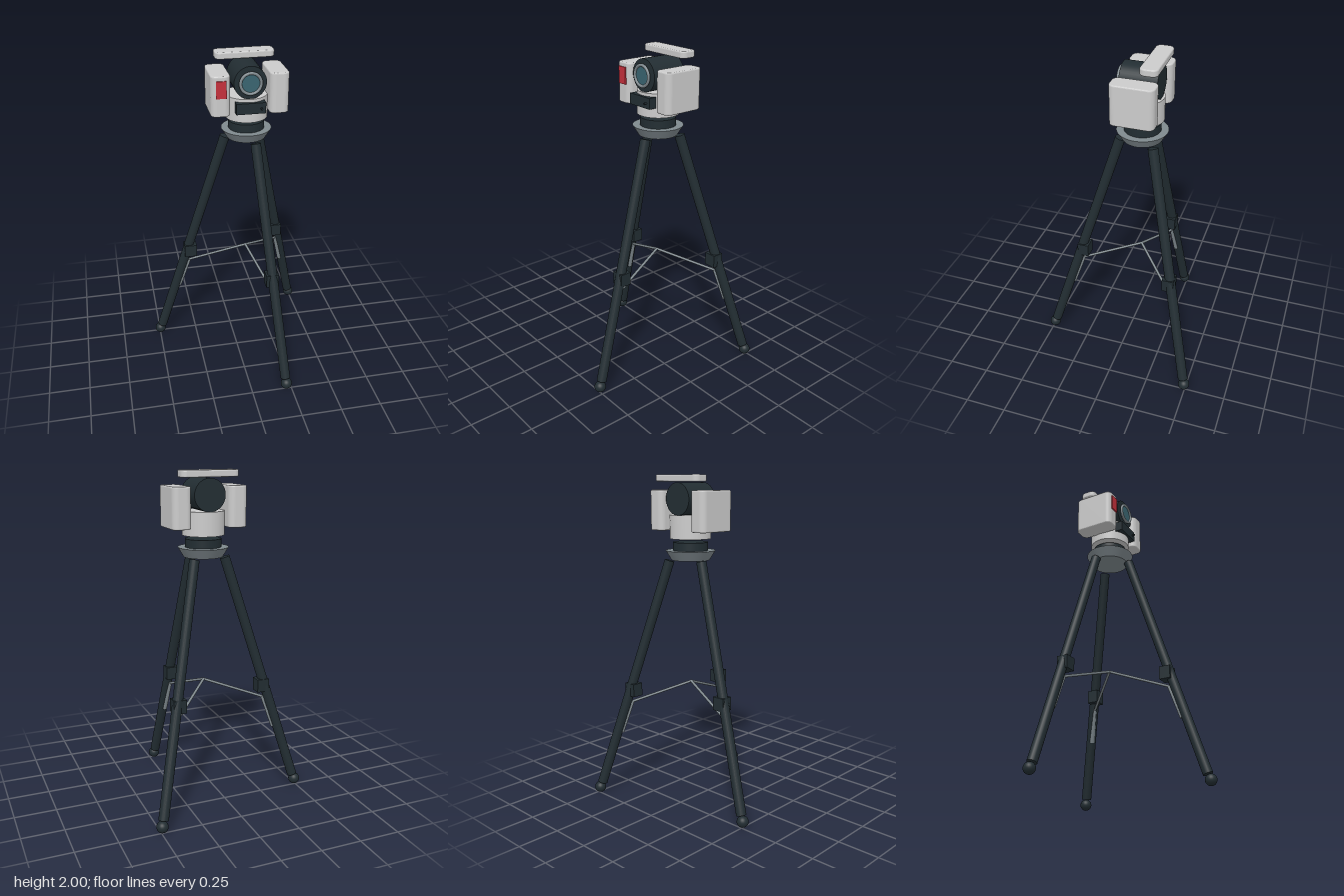
import * as THREE from 'three';

const CX = 0.071, CZ = -0.078; // tripod axis

const mat = (color) => new THREE.MeshStandardMaterial({ color });
const light = mat(0xcccccc);
const dark = mat(0x222d32);
const steel = mat(0x7f898e);
const red = mat(0xc4303c);
const glass = mat(0x3a6470);

function add(parent, name, geometry, material, x = 0, y = 0, z = 0) {
  const mesh = new THREE.Mesh(geometry, material);
  mesh.name = name;
  mesh.position.set(x, y, z);
  parent.add(mesh);
  return mesh;
}

// Cylinder running from point a (radius ra) to point b (radius rb)
function rod(parent, name, a, b, ra, rb, material, sides = 20) {
  const dir = b.clone().sub(a);
  const mesh = add(parent, name, new THREE.CylinderGeometry(rb, ra, dir.length(), sides), material);
  mesh.position.copy(a).add(b).multiplyScalar(0.5);
  mesh.quaternion.setFromUnitVectors(new THREE.Vector3(0, 1, 0), dir.normalize());
  return mesh;
}

// Slab with rounded corners in plan and a small bevel on its top and bottom edges
function roundedSlab(w, h, d, r, bevel) {
  const x = w / 2 - bevel, y = d / 2 - bevel, c = r - bevel;
  const s = new THREE.Shape();
  s.absarc(x - c, y - c, c, 0, Math.PI / 2);
  s.absarc(-x + c, y - c, c, Math.PI / 2, Math.PI);
  s.absarc(-x + c, -y + c, c, Math.PI, Math.PI * 1.5);
  s.absarc(x - c, -y + c, c, Math.PI * 1.5, Math.PI * 2);
  s.closePath();
  const g = new THREE.ExtrudeGeometry(s, {
    depth: h - 2 * bevel, bevelEnabled: true, bevelSize: bevel,
    bevelThickness: bevel, bevelSegments: 3, curveSegments: 8,
  });
  g.translate(0, 0, -(h / 2 - bevel));
  g.rotateX(-Math.PI / 2);
  return g;
}

function createTripod() {
  const tripod = new THREE.Group();
  tripod.name = 'tripod';

  for (let i = 0; i < 3; i++) {
    const angle = THREE.MathUtils.degToRad(75.5 + 120 * i);
    const at = (r, y) => new THREE.Vector3(CX + r * Math.cos(angle), y, CZ + r * Math.sin(angle));
    const leg = new THREE.Group();
    leg.name = 'leg' + (i + 1);
    tripod.add(leg);

    rod(leg, 'legTube', at(0.127, 1.495), at(0.574, 0.07), 0.03, 0.03, dark);
    const foot = add(leg, 'foot', new THREE.SphereGeometry(0.035, 24, 16), dark);
    foot.position.copy(at(0.589, 0.036));
    const clamp = add(leg, 'legClamp', new THREE.BoxGeometry(0.077, 0.08, 0.07), dark);
    clamp.position.copy(at(0.36, 0.69));

    // spreader arm and the stay that joins it to the leg
    rod(leg, 'spreaderArm', at(0, 0.74), at(0.367, 0.61), 0.008, 0.008, steel, 12);
    rod(leg, 'spreaderStay', at(0.367, 0.612), at(0.442, 0.41), 0.01, 0.015, steel, 12);
  }
  add(tripod, 'spreaderHub', new THREE.SphereGeometry(0.009, 12, 8), steel, CX, 0.739, CZ);

  add(tripod, 'collar', new THREE.CylinderGeometry(0.15, 0.115, 0.057, 48), steel, CX, 1.528, CZ);
  add(tripod, 'mountingDisc', new THREE.CylinderGeometry(0.106, 0.106, 0.05, 48), dark, CX, 1.581, CZ);
  return tripod;
}

function createInstrument() {
  const head = new THREE.Group();
  head.name = 'instrument';

  add(head, 'base', new THREE.CylinderGeometry(0.124, 0.124, 0.14, 48), light, CX, 1.697, CZ);

  // side housings
  for (const side of [-1, 1]) {
    add(head, side < 0 ? 'rightHousing' : 'leftHousing',
      roundedSlab(0.113, 0.238, 0.255, 0.035, 0.008), light, CX + side * 0.171, 1.792, -0.079);
  }
  add(head, 'carryHandle', roundedSlab(0.35, 0.04, 0.103, 0.032, 0.008), light, CX, 1.98, -0.156);
  add(head, 'redPanel', new THREE.BoxGeometry(0.06, 0.1, 0.012), red, -0.099, 1.835, 0.049);

  // sighting barrel with lens
  const barrel = new THREE.Group();
  barrel.name = 'sightingBarrel';
  barrel.position.set(CX, 1.86, 0);
  head.add(barrel);
  const disc = (name, r, z0, z1, material) =>
    add(barrel, name, new THREE.CylinderGeometry(r, r, z1 - z0, 48).rotateX(Math.PI / 2), material, 0, 0, (z0 + z1) / 2);
  disc('barrelTube', 0.095, -0.186, 0.032, dark);
  disc('lens', 0.054, 0.02, 0.045, glass);
  add(barrel, 'lensRing', new THREE.TorusGeometry(0.06, 0.009, 12, 48), steel, 0, 0, 0.046);

  // control strip with a small knob
  add(head, 'controlStrip', new THREE.BoxGeometry(0.172, 0.064, 0.05), dark, CX, 1.717, 0.037);
  add(head, 'controlKnob', new THREE.CylinderGeometry(0.006, 0.006, 0.02, 12).rotateX(Math.PI / 2),
    dark, 0.13, 1.716, 0.07);
  return head;
}

export function createModel() {
  const model = new THREE.Group();
  model.name = 'surveyingInstrument';
  model.add(createTripod(), createInstrument());
  return model;
}
